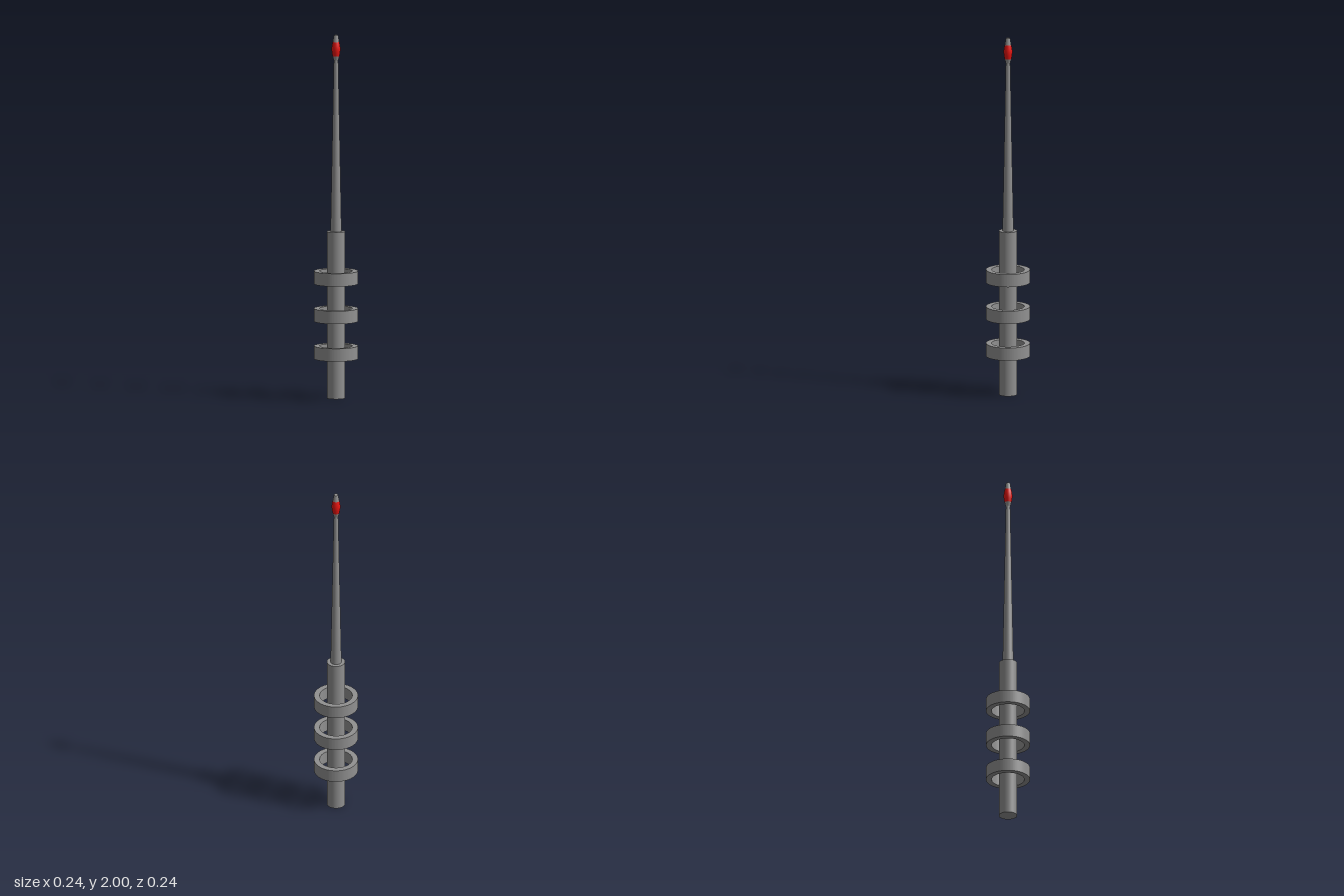
import * as THREE from 'three';

const SEGMENTS = 48;
const grey = new THREE.MeshStandardMaterial({ color: 0x919191 });
const red = new THREE.MeshStandardMaterial({ color: 0xe61410 });

export function createModel() {
  const group = new THREE.Group();
  const add = (name, geometry, material = grey, y = 0) => {
    const mesh = new THREE.Mesh(geometry, material);
    mesh.name = name;
    mesh.position.y = y;
    group.add(mesh);
  };
  // Truncated cone standing between two heights
  const taper = (name, y0, y1, r0, r1, open = false) =>
    add(name, new THREE.CylinderGeometry(r1, r0, y1 - y0, SEGMENTS, 1, open), grey, (y0 + y1) / 2);

  // Thick lower shaft and the slender mast above it
  taper('shaft', 0, 0.919, 0.05, 0.05);
  taper('mast', 0.919, 1.86, 0.03, 0.012, true);

  // Three floating collars around the shaft
  const profile = new THREE.Shape().absarc(0, 0, 0.12, 0, Math.PI * 2);
  profile.holes.push(new THREE.Path().absarc(0, 0, 0.089, 0, Math.PI * 2, true));
  const ring = new THREE.ExtrudeGeometry(profile, { depth: 0.071, bevelEnabled: false, curveSegments: SEGMENTS });
  ring.rotateX(-Math.PI / 2);
  for (let i = 0; i < 3; i++) add(`ring${i + 1}`, ring, grey, 0.217 + i * 0.2065);

  // Beacon: grey socket, red bulging lamp, grey tapered cap
  taper('lampSocket', 1.86, 1.884, 0.012, 0.0185, true);
  const lamp = [[0.0185, 1.884], [0.0225, 1.904], [0.024, 1.923], [0.0225, 1.942], [0.0178, 1.962]];
  add('lamp', new THREE.LatheGeometry(lamp.map(([r, y]) => new THREE.Vector2(r, y)), SEGMENTS), red);
  taper('lampCap', 1.962, 2, 0.0178, 0.0115);

  return group;
}
